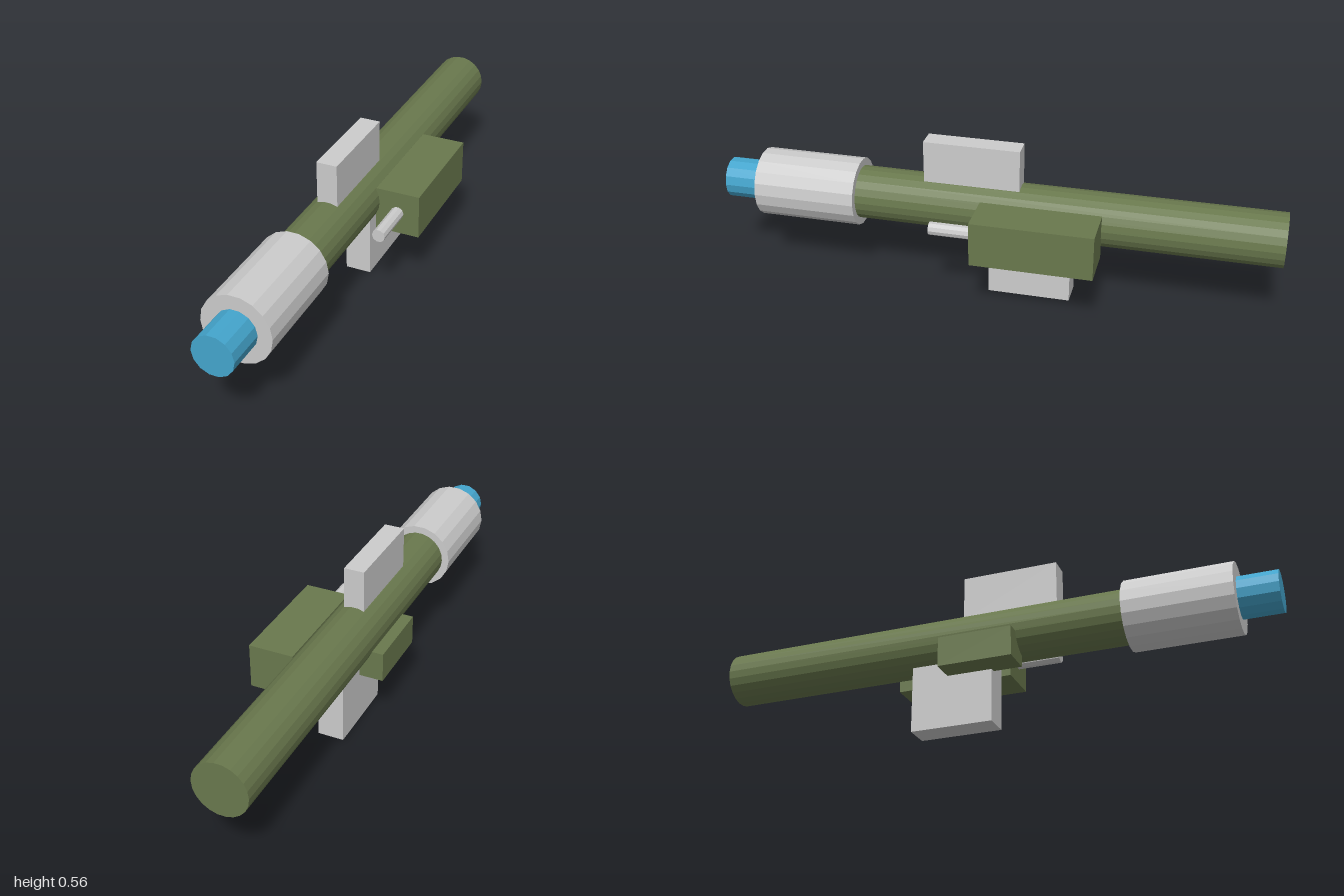
import * as THREE from 'three';

const material = (color) => new THREE.MeshStandardMaterial({ color, flatShading: true });

export function createModel() {
  const group = new THREE.Group();
  const grey = material(0xcccccc);
  const green = material(0x69784d);
  const blue = material(0x44a5cd);

  const add = (name, geometry, mat, x, y, z) => {
    const mesh = new THREE.Mesh(geometry, mat);
    mesh.name = name;
    mesh.position.set(x, y, z);
    group.add(mesh);
  };

  // Cylinder lying along z, with a corner on each side
  const rod = (name, mat, radius, sides, x, y, z0, z1) => {
    const geometry = new THREE.CylinderGeometry(radius, radius, z1 - z0, sides, 1, false, Math.PI / 2);
    geometry.rotateX(Math.PI / 2);
    add(name, geometry, mat, x, y, (z0 + z1) / 2);
  };

  // Box given by its limits on each axis
  const block = (name, mat, [x0, x1], [y0, y1], [z0, z1]) =>
    add(name, new THREE.BoxGeometry(x1 - x0, y1 - y0, z1 - z0), mat,
      (x0 + x1) / 2, (y0 + y1) / 2, (z0 + z1) / 2);

  // Main tube, front sleeve and coloured tip on one axis
  const cx = -0.055, cy = 0.321;
  rod('mainTube', green, 0.095, 22, cx, cy, -1, 0.52);
  rod('frontSleeve', grey, 0.122, 18, cx, cy, 0.495, 0.865);
  rod('frontTip', blue, 0.0725, 14, cx, cy, 0.84, 1);

  // Upper block and lower grip
  block('topBlock', grey, [-0.091, -0.018], [0.395, 0.56], [-0.09, 0.253]);
  block('lowerGrip', grey, [-0.1, -0.007], [0, 0.25], [-0.277, 0.018]);

  // Side housing with its small rod
  block('sideHousing', green, [0.027, 0.186], [0.215, 0.375], [-0.387, 0.04]);
  rod('sideRod', grey, 0.0235, 10, 0.106, 0.295, 0.02, 0.2);

  // Small box on the opposite side
  block('sideBox', green, [-0.187, -0.08], [0.188, 0.295], [-0.145, 0.12]);

  return group;
}
